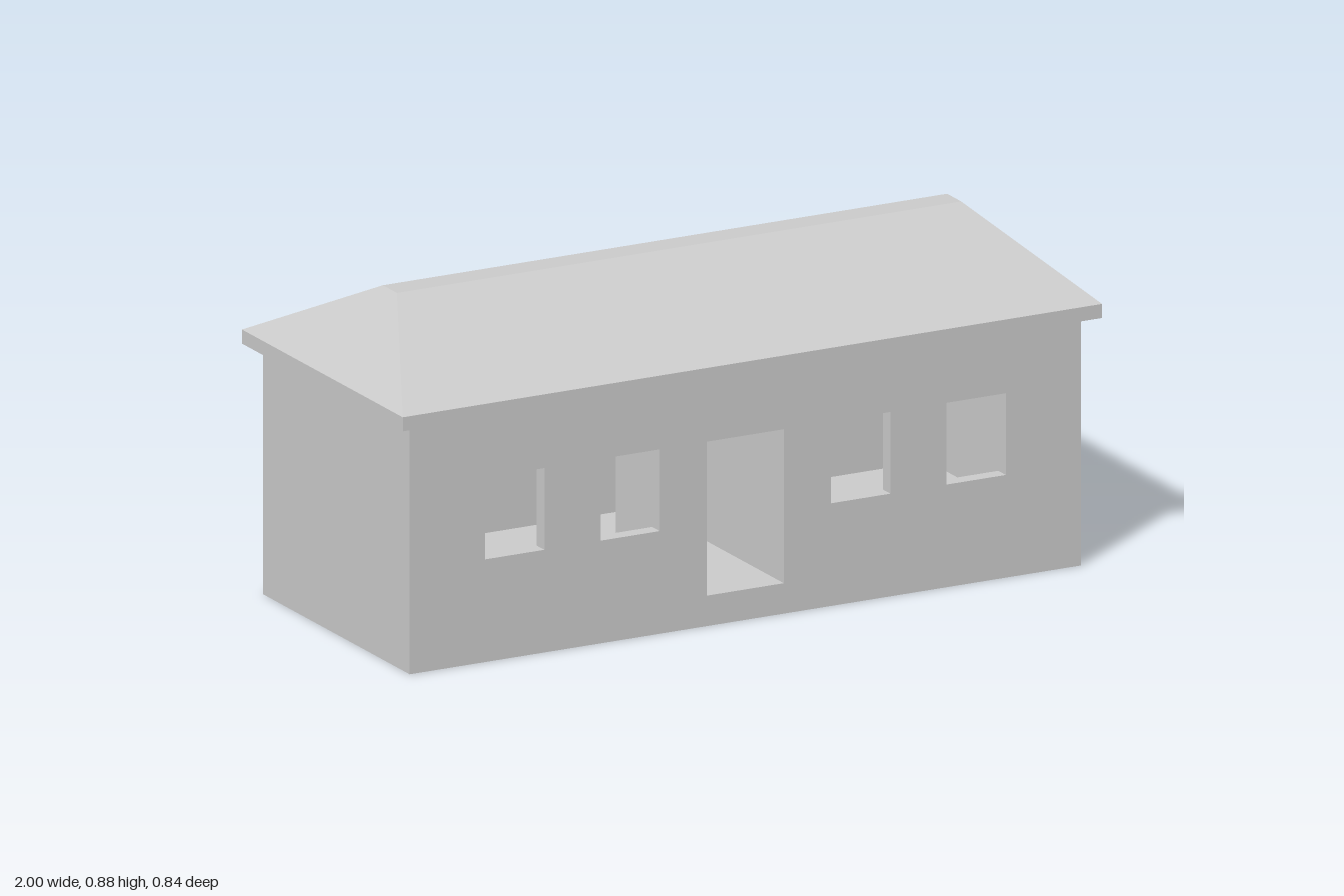
import * as THREE from 'three';

const HALF_X = 0.96, HALF_Z = 0.385, WALL = 0.04;
const FLOOR_Y = 0.08, EAVES_Y = 0.655, HEAD_Y = 0.485, SILL_Y = 0.27;
const DOOR_HALF = 0.11;

const material = new THREE.MeshStandardMaterial({ color: 0xcccccc, flatShading: true });

function add(group, name, geometry, x = 0, y = 0, z = 0) {
  const mesh = new THREE.Mesh(geometry, material);
  mesh.name = name;
  mesh.position.set(x, y, z);
  group.add(mesh);
  return mesh;
}

function rectangle(path, x0, y0, x1, y1) {
  path.moveTo(x0, y0).lineTo(x1, y0).lineTo(x1, y1).lineTo(x0, y1).closePath();
  return path;
}

// Wall panel in the XY plane with rectangular openings [x0, y0, x1, y1]
function panel(outline, openings) {
  const shape = rectangle(new THREE.Shape(), ...outline);
  for (const o of openings) shape.holes.push(rectangle(new THREE.Path(), ...o));
  return new THREE.ExtrudeGeometry(shape, { depth: WALL, bevelEnabled: false });
}

// Box whose top corners are drawn in to a narrow flat ridge
function hipRoof(halfX, halfZ, ridgeX, ridgeZ, height) {
  const geometry = new THREE.BoxGeometry(2 * halfX, height, 2 * halfZ);
  geometry.translate(0, height / 2, 0);
  const p = geometry.attributes.position;
  for (let i = 0; i < p.count; i++) {
    if (p.getY(i) > height / 2) {
      p.setX(i, Math.sign(p.getX(i)) * ridgeX);
      p.setZ(i, Math.sign(p.getZ(i)) * ridgeZ);
    }
  }
  geometry.computeVertexNormals();
  return geometry;
}

export function createModel() {
  const house = new THREE.Group();
  house.name = 'house';

  // Long walls: four windows each, and the door in the front only
  const windows = [-0.66, -0.33, 0.33, 0.66].map(x => [x - 0.085, SILL_Y, x + 0.085, HEAD_Y]);
  const door = [-DOOR_HALF, FLOOR_Y, DOOR_HALF, HEAD_Y];
  const longWall = [-HALF_X, 0, HALF_X, EAVES_Y];
  add(house, 'frontWall', panel(longWall, [...windows, door]), 0, 0, HALF_Z - WALL);
  add(house, 'backWall', panel(longWall, windows), 0, 0, -HALF_Z);

  // Floor slab between the walls
  const innerZ = HALF_Z - WALL;
  add(house, 'floor', new THREE.BoxGeometry(2 * (HALF_X - WALL), FLOOR_Y, 2 * innerZ), 0, FLOOR_Y / 2, 0);

  for (const side of [-1, 1]) {
    const label = side > 0 ? 'left' : 'right';

    // Solid end walls
    add(house, label + 'EndWall', new THREE.BoxGeometry(WALL, EAVES_Y, 2 * innerZ),
      side * (HALF_X - WALL / 2), EAVES_Y / 2, 0);

    // Hallway partitions with a doorway towards the back
    const shape = new THREE.Shape([
      [-innerZ, FLOOR_Y], [-0.22, FLOOR_Y], [-0.22, HEAD_Y], [-0.02, HEAD_Y], [-0.02, FLOOR_Y],
      [innerZ, FLOOR_Y], [innerZ, EAVES_Y], [-innerZ, EAVES_Y],
    ].map(([z, y]) => new THREE.Vector2(z, y)));
    const partition = new THREE.ExtrudeGeometry(shape, { depth: WALL, bevelEnabled: false });
    partition.translate(0, 0, -WALL / 2);
    partition.rotateY(-Math.PI / 2);
    add(house, label + 'Partition', partition, side * (DOOR_HALF + WALL / 2), 0, 0);
  }

  // Overhanging eaves slab and hipped roof
  const eaves = 0.037;
  add(house, 'eaves', new THREE.BoxGeometry(2, eaves, 0.844), 0, EAVES_Y + eaves / 2, 0);
  add(house, 'roof', hipRoof(1, 0.422, 0.807, 0.037, 0.193), 0, EAVES_Y + eaves, 0);

  return house;
}
